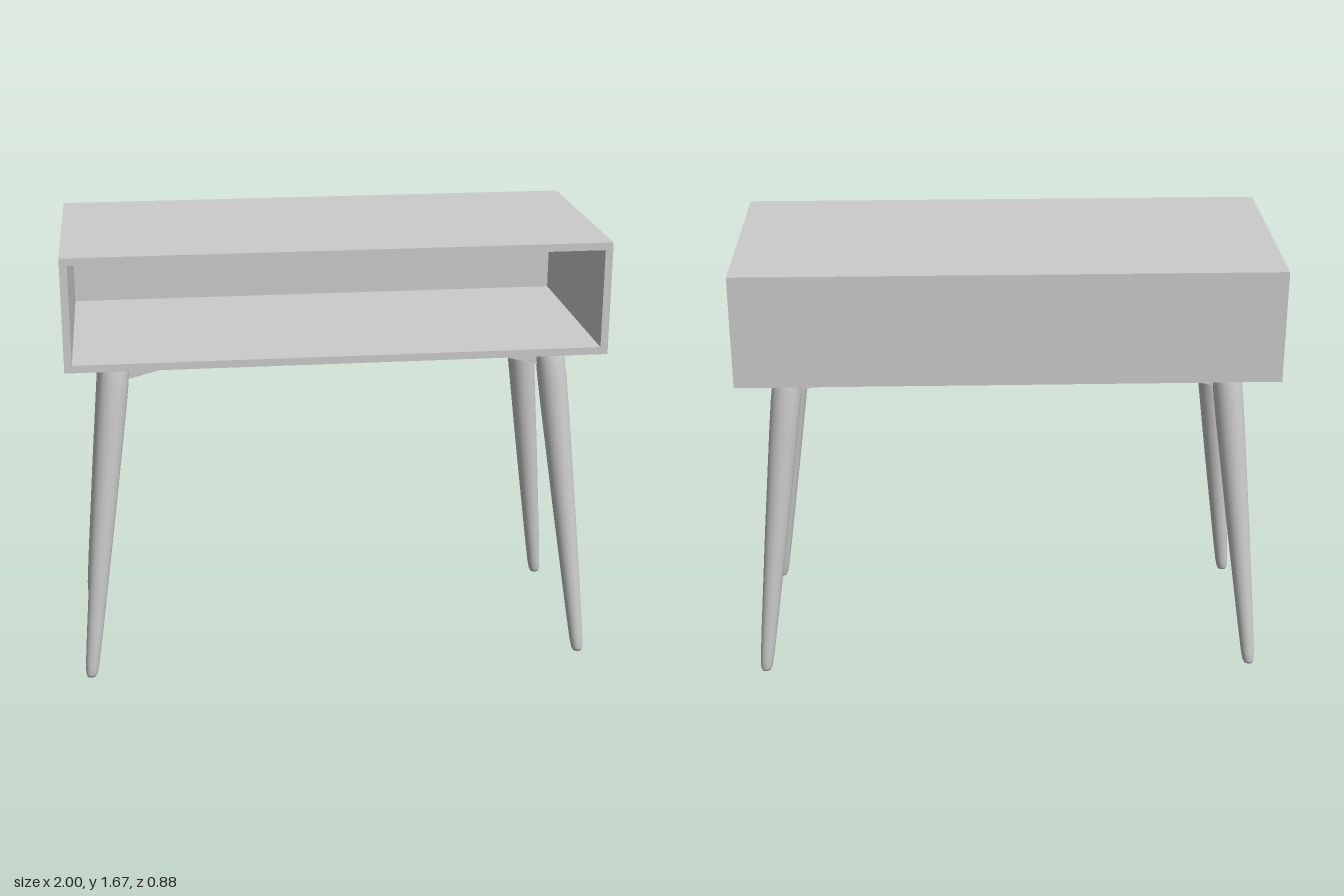
import * as THREE from 'three';

const BOTTOM = 1.245, TOP = 1.67, DEPTH = 0.88, WALL = 0.028;

export function createModel() {
  const model = new THREE.Group();
  const material = new THREE.MeshStandardMaterial({ color: 0xcccccc });
  const add = (name, geometry, parent = model) => {
    const mesh = new THREE.Mesh(geometry, material);
    mesh.name = name;
    parent.add(mesh);
    return mesh;
  };

  const rect = (Type, x, y0, y1) => new Type([
    new THREE.Vector2(-x, y0), new THREE.Vector2(x, y0),
    new THREE.Vector2(x, y1), new THREE.Vector2(-x, y1),
  ]);

  // Case: a rectangular tube, open at the front
  const frame = rect(THREE.Shape, 1, BOTTOM, TOP);
  frame.holes.push(rect(THREE.Path, 1 - WALL, BOTTOM + WALL, TOP - WALL));
  const tube = new THREE.ExtrudeGeometry(frame, { depth: DEPTH, bevelEnabled: false });
  add('case', tube.translate(0, 0, -DEPTH / 2));

  // Panel closing the back of the case
  const back = new THREE.BoxGeometry(2 - 2 * WALL, TOP - BOTTOM - 2 * WALL, WALL);
  add('backPanel', back).position.set(0, (TOP + BOTTOM) / 2, (WALL - DEPTH) / 2);

  // Tapered leg profile: radius, height
  const profile = [
    [0, 0], [0.017, 0], [0.022, 0.012], [0.026, 0.05], [0.031, 0.18], [0.044, 0.6],
    [0.054, 1.0], [0.056, 1.12], [0.055, 1.185], [0.052, 1.22], [0.046, BOTTOM], [0, BOTTOM],
  ].map(([r, y]) => new THREE.Vector2(r, y));

  // Triangular brace running inward from the leg under the case
  const braceShape = new THREE.Shape([
    new THREE.Vector2(0.46, BOTTOM), new THREE.Vector2(0.81, 1.155), new THREE.Vector2(0.81, BOTTOM),
  ]);

  for (const [side, sx] of [['Left', 1], ['Right', -1]]) {
    for (const [end, topZ, footZ] of [['front', 0.274, 0.39], ['back', -0.272, -0.37]]) {
      const corner = new THREE.Group();
      corner.name = `${end}${side}Support`;
      model.add(corner);

      // Shear the turned leg so it splays while its foot stays flat
      const leg = new THREE.LatheGeometry(profile, 24);
      const dx = sx * (0.817 - 0.958) / BOTTOM, dz = (topZ - footZ) / BOTTOM;
      leg.applyMatrix4(new THREE.Matrix4().set(
        1, dx, 0, sx * 0.958,
        0, 1, 0, 0,
        0, dz, 1, footZ,
        0, 0, 0, 1,
      ));
      add('leg', leg, corner);

      const brace = new THREE.ExtrudeGeometry(braceShape, { depth: 0.024, bevelEnabled: false });
      brace.translate(0, 0, -0.012);
      if (sx < 0) brace.rotateY(Math.PI);
      add('brace', brace.translate(0, 0, topZ), corner);
    }
  }
  return model;
}
